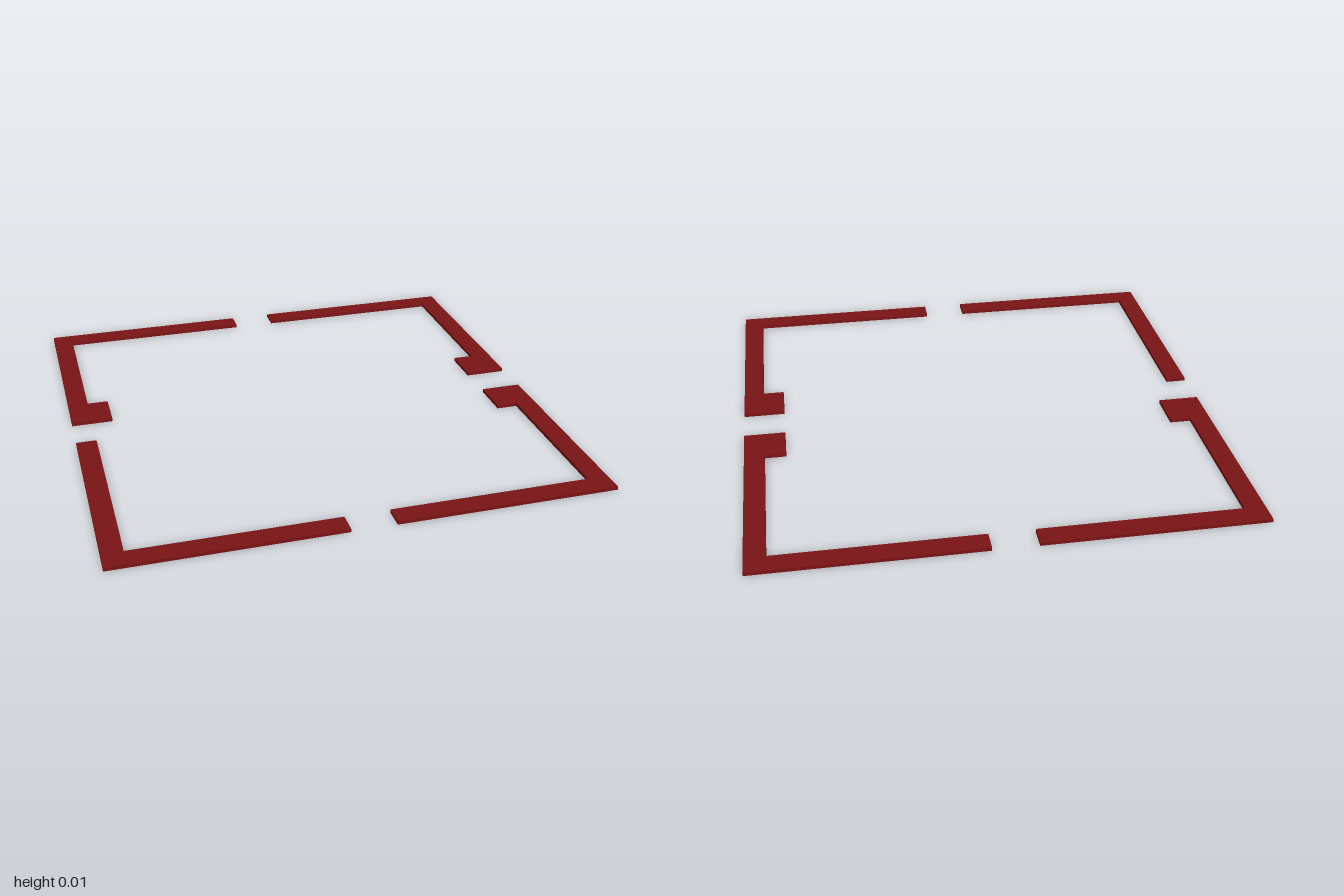
import * as THREE from 'three';

const HEIGHT = 0.014;
const INNER = 0.915;   // inner face of the border
const GAP_X = 0.091;   // half gap in the front and back sides
const GAP_Z = 0.087;   // half gap in the left and right sides
const PAD_X = 0.827;   // inner face of the end pads
const PAD_Z = 0.252;   // far end of the end pads

// One L-shaped corner; a padded one widens at its side end.
function corner(name, sx, sz, padded, material) {
  const points = [[GAP_X, 1], [GAP_X, INNER], [INNER, INNER]];
  if (padded) points.push([INNER, PAD_Z], [PAD_X, PAD_Z], [PAD_X, GAP_Z]);
  else points.push([INNER, GAP_Z]);
  points.push([1, GAP_Z], [1, 1]);

  const shape = new THREE.Shape(points.map(([x, z]) => new THREE.Vector2(x * sx, -z * sz)));
  const geometry = new THREE.ExtrudeGeometry(shape, { depth: HEIGHT, bevelEnabled: false });
  geometry.rotateX(-Math.PI / 2); // lay flat, extruded upwards
  const mesh = new THREE.Mesh(geometry, material);
  mesh.name = name;
  return mesh;
}

export function createModel() {
  const model = new THREE.Group();
  model.name = 'borderFrame';
  const red = new THREE.MeshStandardMaterial({ color: 0x7a1315 });

  // Three corners carry a pad, the front right one is plain
  model.add(
    corner('frontLeftCorner', 1, 1, true, red),
    corner('backLeftCorner', 1, -1, true, red),
    corner('backRightCorner', -1, -1, true, red),
    corner('frontRightCorner', -1, 1, false, red),
  );
  return model;
}
